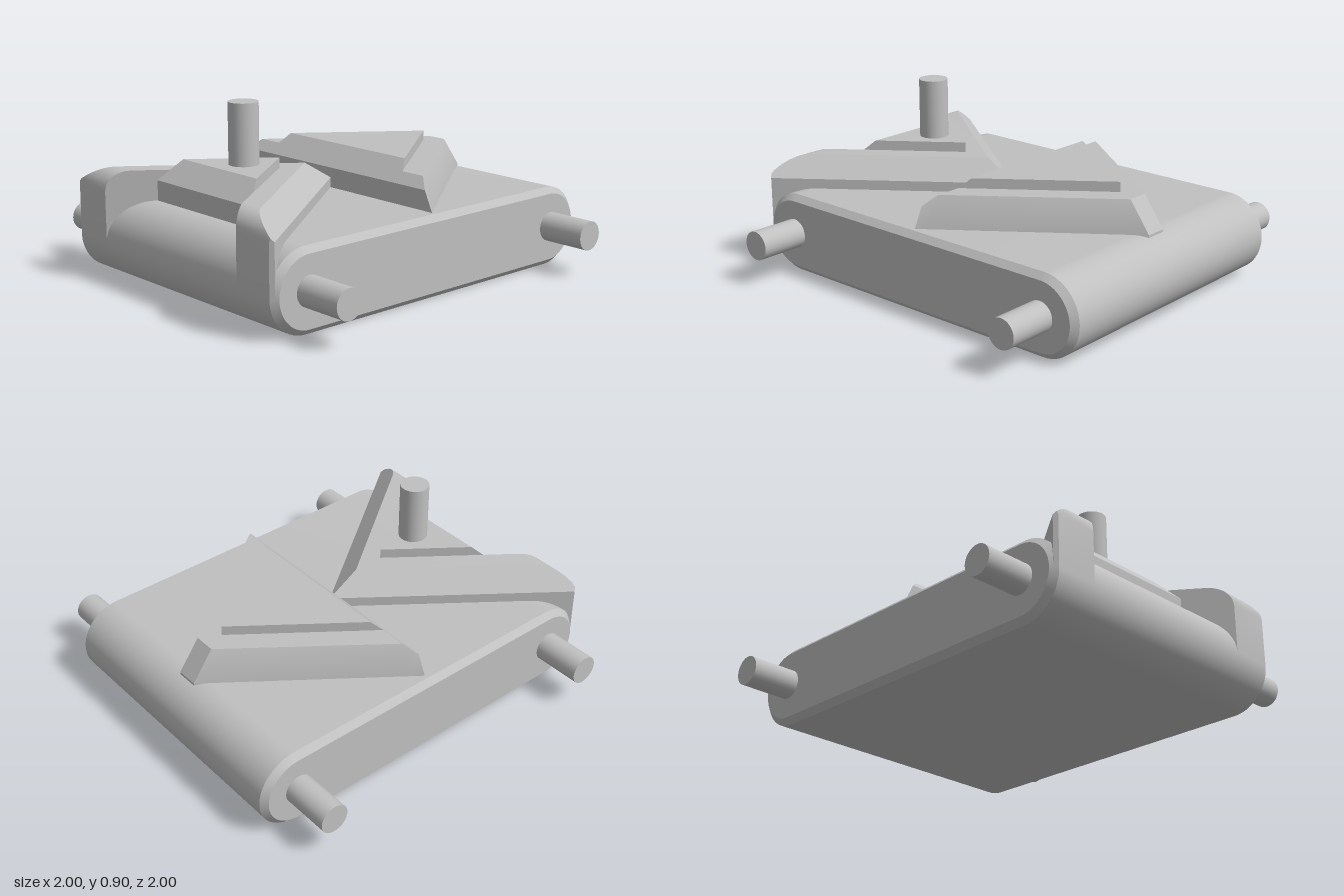
import * as THREE from 'three';
import { toCreasedNormals } from 'three/addons/utils/BufferGeometryUtils.js';

// Skin a row of cross-sections { x, pts: [[z, y], ...] } running along +x, with capped ends
function loft(sections) {
  const pos = [];
  const tri = (a, b, c) => {
    const area = new THREE.Triangle(a, b, c).getArea();
    if (area > 1e-8) for (const p of [a, b, c]) pos.push(p.x, p.y, p.z);
  };
  const rings = sections.map(s => s.pts.map(([z, y]) => new THREE.Vector3(s.x, y, z)));
  const n = rings[0].length;
  for (let i = 0; i < rings.length - 1; i++) {
    const p = rings[i], q = rings[i + 1];
    for (let j = 0; j < n; j++) {
      const k = (j + 1) % n;
      tri(p[j], q[j], q[k]);
      tri(p[j], q[k], p[k]);
    }
  }
  const first = rings[0], last = rings[rings.length - 1];
  for (let j = 1; j < n - 1; j++) {
    tri(first[0], first[j], first[j + 1]);
    tri(last[0], last[j + 1], last[j]);
  }
  const g = new THREE.BufferGeometry();
  g.setAttribute('position', new THREE.Float32BufferAttribute(pos, 3));
  return toCreasedNormals(g, 0.45);
}

// Section mirrored about z = 0: vertical foot, sloping shoulder, flat top
const ridgeSection = (x, foot, base, shoulder, top, h) => ({
  x,
  pts: [[-base, foot], [base, foot], [base, shoulder], [top, h], [-top, h], [-base, shoulder]],
});

// Section of one chevron arm on the +z side
function armSection(x) {
  const line = -0.75 * x;
  const outer = Math.min(line, 1.72 + x);
  const inner = Math.max(0, 0.746 * (-0.33 - x));
  let h = 0.55;
  if (x < -0.9) h = 0.45 + Math.sqrt(Math.max(0, 0.01 - (x + 0.9) ** 2));
  if (x > -0.17) h = 0.45 + 0.1 * (-x / 0.17);
  const top = Math.max(0, Math.min(outer, line - 1.275 * (h - 0.45)));
  const shoulder = Math.min(h, 0.45 + (line - outer) / 1.275);
  return { x, pts: [[inner, 0.2], [outer, 0.2], [outer, shoulder], [top, h], [inner, h]] };
}

export function createModel() {
  const model = new THREE.Group();
  const grey = new THREE.MeshStandardMaterial({ color: 0xc0c0c0 });
  grey.name = 'grey';
  const add = (name, geometry, x = 0, y = 0, z = 0) => {
    const mesh = new THREE.Mesh(geometry, grey);
    mesh.name = name;
    mesh.position.set(x, y, z);
    model.add(mesh);
    return mesh;
  };

  // Round-ended slab with chamfered side edges
  const outline = new THREE.Shape();
  outline.moveTo(-0.8, 0);
  outline.lineTo(0.8, 0);
  outline.absarc(0.8, 0.2, 0.2, -Math.PI / 2, Math.PI / 2, false);
  outline.lineTo(-0.8, 0.4);
  outline.absarc(-0.8, 0.2, 0.2, Math.PI / 2, Math.PI * 1.5, false);
  const slab = new THREE.ExtrudeGeometry(outline, {
    depth: 1.44, bevelThickness: 0.03, bevelSize: 0.03, bevelOffset: -0.03,
    bevelSegments: 1, curveSegments: 24,
  });
  slab.translate(0, 0, -0.72);
  add('body', toCreasedNormals(slab, 0.45));

  // Axles through both ends
  for (const x of [-0.8, 0.8]) {
    const axle = new THREE.CylinderGeometry(0.073, 0.073, 2, 32).rotateX(Math.PI / 2);
    add(x < 0 ? 'rearAxle' : 'frontAxle', axle, x, 0.203, 0);
  }

  // Rear chevron: two mirrored arms with rounded tails
  const stations = [-1, -0.995, -0.983, -0.965, -0.945, -0.92, -0.9, -0.33, -0.17, 0];
  const arm = stations.map(armSection);
  add('chevronArmLeft', loft(arm));
  add('chevronArmRight', loft(arm.map(({ x, pts }) => ({
    x, pts: pts.map(([z, y]) => [-z, y]).reverse(),
  }))));

  // Raised wedge nested in the chevron, and its post
  add('rearWedge', loft([
    ridgeSection(-0.8, 0.35, 0.35, 0.5, 0.35, 0.5),
    ridgeSection(-0.7, 0.35, 0.276, 0.6, 0.276, 0.6),
    ridgeSection(-0.33, 0.35, 0, 0.6, 0, 0.6),
  ]));
  add('post', new THREE.CylinderGeometry(0.073, 0.073, 0.5, 32), -0.55, 0.65, 0);

  // Front arrowhead with sloping flanks and a blunt tip
  add('frontArrowhead', loft([
    ridgeSection(0, 0.35, 0.7, 0.4, 0.652, 0.5),
    ridgeSection(0.05, 0.35, 0.663, 0.4, 0.59, 0.55),
    ridgeSection(0.76, 0.35, 0.137, 0.4, 0.055, 0.55),
    ridgeSection(0.87, 0.35, 0.055, 0.4, 0.055, 0.4),
  ]));

  // Raised plate on the arrowhead
  add('frontWedge', loft([
    ridgeSection(0.05, 0.5, 0.455, 0.55, 0.455, 0.55),
    ridgeSection(0.1, 0.5, 0.418, 0.6, 0.418, 0.6),
    ridgeSection(0.66, 0.5, 0, 0.6, 0, 0.6),
  ]));

  return model;
}
